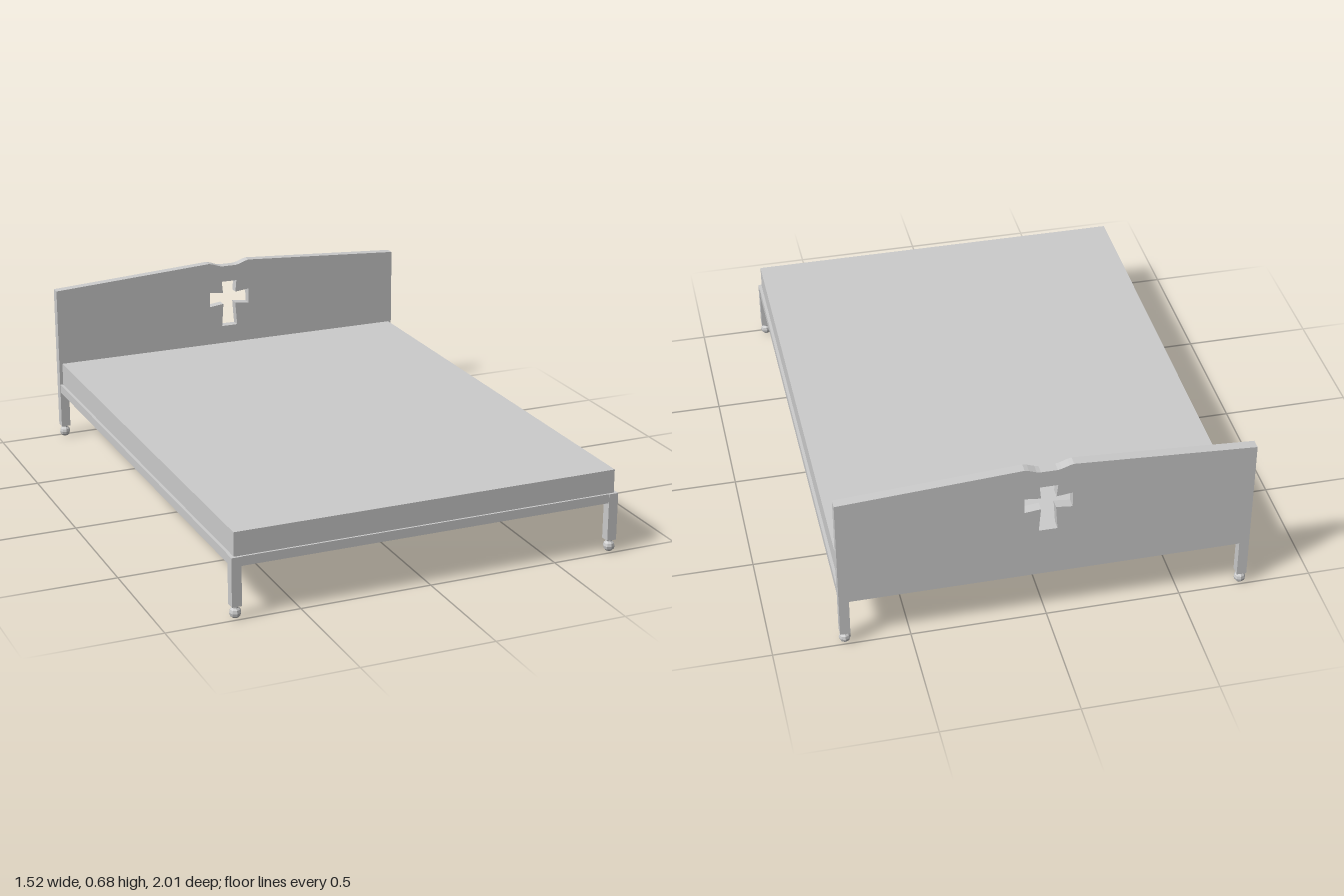
import * as THREE from 'three';

const W = 0.755;      // half width of the frame
const POST = 0.037;   // leg thickness
const BACK = -1, FRONT = 0.998;
const RAIL_Y = 0.197, RAIL_TOP = 0.232;

export function createModel() {
  const group = new THREE.Group();
  group.name = 'bed';
  const material = new THREE.MeshStandardMaterial({ color: 0xcccccc, flatShading: true });

  const add = (name, geometry, x = 0, y = 0, z = 0) => {
    const mesh = new THREE.Mesh(geometry, material);
    mesh.name = name;
    mesh.position.set(x, y, z);
    group.add(mesh);
    return mesh;
  };
  // box given by its lower and upper corners
  const box = (name, x0, x1, y0, y1, z0, z1) =>
    add(name, new THREE.BoxGeometry(x1 - x0, y1 - y0, z1 - z0),
      (x0 + x1) / 2, (y0 + y1) / 2, (z0 + z1) / 2);

  // headboard: sloping top with a shallow dip in the middle
  const half = [[W, RAIL_Y], [W, 0.635], [0.088, 0.676], [0.072, 0.672], [0.045, 0.662], [0.03, 0.659]];
  const mirrored = half.map(([x, y]) => [-x, y]).reverse();
  const toPoints = (list) => list.map(([x, y]) => new THREE.Vector2(x, y));
  const board = new THREE.Shape(toPoints([...half, ...mirrored]));

  // flared cross cut-out
  const crossHalf = [[0.034, 0.397], [0.027, 0.494], [0.087, 0.487], [0.087, 0.549], [0.028, 0.542], [0.033, 0.592]];
  const crossMirror = crossHalf.map(([x, y]) => [-x, y]).reverse();
  board.holes.push(new THREE.Path(toPoints([...crossHalf, ...crossMirror]).reverse()));
  add('headboard', new THREE.ExtrudeGeometry(board, { depth: POST, bevelEnabled: false }), 0, 0, BACK);

  // legs with ball casters
  for (const sx of [-1, 1]) {
    for (const z of [BACK + POST / 2, FRONT - POST / 2]) {
      const x = sx * (W - POST / 2);
      const top = z > 0 ? RAIL_TOP : RAIL_Y;
      box('leg', x - POST / 2, x + POST / 2, 0.048, top, z - POST / 2, z + POST / 2);
      add('casterStem', new THREE.CylinderGeometry(0.012, 0.012, 0.02, 8), x, 0.042, z);
      add('casterBall', new THREE.SphereGeometry(0.022, 8, 6), x, 0.022, z);
    }
    // side rail
    const inner = sx * (W - 0.022), outer = sx * (W - 0.002);
    box('sideRail', Math.min(inner, outer), Math.max(inner, outer), RAIL_Y, RAIL_TOP, BACK + POST, FRONT - POST);
  }
  // end rails
  box('footRail', -W + POST, W - POST, RAIL_Y, RAIL_TOP, FRONT - 0.022, FRONT - 0.002);
  box('headRail', -W + 0.022, W - 0.022, RAIL_Y, RAIL_TOP, BACK + POST, BACK + POST + 0.015);

  // slats laid across the frame with narrow gaps
  const count = 10, z0 = BACK + POST + 0.015, z1 = FRONT - 0.022, gap = 0.012;
  const pitch = (z1 - z0) / count;
  for (let i = 0; i < count; i++) {
    const a = z0 + i * pitch;
    box('slat', -W + 0.022, W - 0.022, 0.212, 0.227, a + gap / 2, a + pitch - gap / 2);
  }

  // mattress
  box('mattress', -0.742, 0.742, 0.23, 0.322, BACK + POST, 0.988);
  return group;
}
